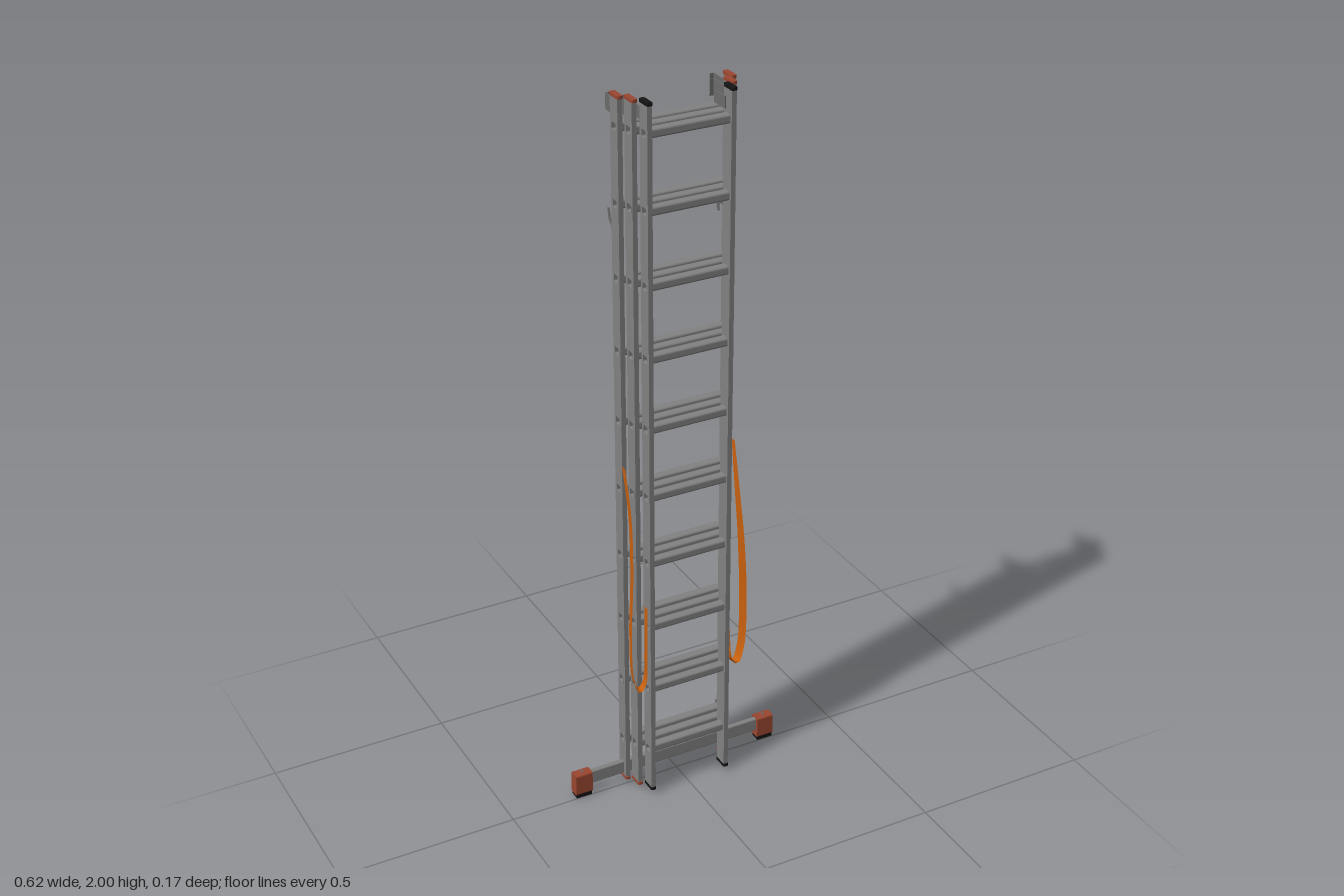
import * as THREE from 'three';

const mat = (name, color, side = THREE.FrontSide) => {
  const m = new THREE.MeshStandardMaterial({ color, side });
  m.name = name;
  return m;
};

export function createModel() {
  const model = new THREE.Group();
  model.name = 'tripleLadder';
  const aluminium = mat('aluminium', 0x828282);
  const steel = mat('darkSteel', 0x6c6c6c);
  const red = mat('redBrownPlastic', 0x9a4630);
  const black = mat('blackRubber', 0x141414);
  const orange = mat('orangeStrap', 0xc8600f, THREE.DoubleSide);

  const add = (parent, name, geo, m, x = 0, y = 0, z = 0) => {
    const mesh = new THREE.Mesh(geo, m);
    mesh.name = name;
    mesh.position.set(x, y, z);
    parent.add(mesh);
    return mesh;
  };
  const box = (parent, name, m, x0, x1, y0, y1, z0, z1) =>
    add(parent, name, new THREE.BoxGeometry(Math.abs(x1 - x0), y1 - y0, z1 - z0), m,
      (x0 + x1) / 2, (y0 + y1) / 2, (z0 + z1) / 2);

  // Rectangle outline with rounded corners
  const roundRect = (w, h, r, Type = THREE.Shape, cx = 0, cy = 0) => {
    const s = new Type();
    [[1, 1], [-1, 1], [-1, -1], [1, -1]].forEach(([sx, sy], i) => {
      s.absarc(cx + sx * (w / 2 - r), cy + sy * (h / 2 - r), r, i * Math.PI / 2, (i + 1) * Math.PI / 2, false);
    });
    s.closePath();
    return s;
  };
  // Extrude a (z, y) outline along x, centred
  const sideways = (shape, depth) => {
    const g = new THREE.ExtrudeGeometry(shape, { depth, bevelEnabled: false, curveSegments: 4 });
    return g.translate(0, 0, -depth / 2).rotateY(-Math.PI / 2);
  };

  const rungY = Array.from({ length: 10 }, (_, i) => 0.146 + i * 0.197);
  const bottom = 0.024, top = 1.993;

  // Rail pierced by every hollow rung
  const railShape = new THREE.Shape();
  railShape.moveTo(-0.0195, bottom).lineTo(0.0195, bottom).lineTo(0.0195, top).lineTo(-0.0195, top).closePath();
  rungY.forEach(y => railShape.holes.push(roundRect(0.0225, 0.0215, 0.003, THREE.Path, 0, y)));
  const railGeo = sideways(railShape, 0.013);
  const capGeo = new THREE.ExtrudeGeometry(roundRect(0.0155, 0.045, 0.005), { depth: 0.008, bevelEnabled: false, curveSegments: 4 })
    .rotateX(-Math.PI / 2);

  // Three nested ladder sections, widest at the back
  [
    ['back', 0.153, -0.015, red],
    ['middle', 0.134, 0.022, red],
    ['front', 0.113, 0.060, black],
  ].forEach(([label, x, z, capMat]) => {
    const section = new THREE.Group();
    section.name = label + 'Section';
    model.add(section);
    for (const s of [-1, 1]) {
      add(section, 'rail', railGeo, aluminium, s * x, 0, z);
      add(section, 'topCap', capGeo, capMat, s * x, 1.992, z);
      add(section, 'footCap', capGeo, capMat, s * x, 0.016, z);
    }
    const rungShape = roundRect(0.025, 0.024, 0.006);
    rungShape.holes.push(roundRect(0.021, 0.02, 0.004, THREE.Path));
    const rungGeo = sideways(rungShape, 2 * x + 0.0135);
    rungY.forEach(y => add(section, 'rung', rungGeo, aluminium, 0, y, z));
  });

  // Stabiliser bar with end shoes
  const stabiliser = new THREE.Group();
  stabiliser.name = 'stabiliser';
  model.add(stabiliser);
  add(stabiliser, 'bar', sideways(roundRect(0.015, 0.04, 0.004), 0.58), aluminium, 0, 0.05, -0.015);
  const shoeGeo = sideways(roundRect(0.031, 0.064, 0.005), 0.05);
  for (const s of [-1, 1]) {
    add(stabiliser, 'endShoe', shoeGeo, red, s * 0.285, 0.042, -0.015);
    box(stabiliser, 'shoePad', black, s * 0.262, s * 0.308, 0, 0.012, -0.029, -0.001);
    add(stabiliser, 'shoeScrew', new THREE.CylinderGeometry(0.004, 0.004, 0.003, 12), steel, s * 0.285, 0.0745, -0.015);
  }

  // J-shaped catch outline in (z, y)
  const hookShape = new THREE.Shape();
  [[-0.03, 1.672], [-0.05, 1.672], [-0.06, 1.66], [-0.068, 1.668], [-0.074, 1.688], [-0.079, 1.688],
    [-0.074, 1.66], [-0.06, 1.648], [-0.056, 1.632], [-0.049, 1.632], [-0.05, 1.652], [-0.03, 1.656]]
    .forEach(([z, y], i) => (i ? hookShape.lineTo(z, y) : hookShape.moveTo(z, y)));
  const hookGeo = sideways(hookShape, 0.004);

  // Strap centre line: from the back rail, hanging down, up to the front rail
  const strapCurve = new THREE.CatmullRomCurve3([
    [0.160, 1.01, 0.014], [0.158, 0.88, 0.042], [0.163, 0.72, 0.060], [0.170, 0.52, 0.062],
    [0.164, 0.39, 0.062], [0.147, 0.343, 0.062], [0.130, 0.365, 0.062], [0.124, 0.45, 0.060], [0.122, 0.60, 0.058],
  ].map(p => new THREE.Vector3(...p)));
  const strapGeo = side => {
    const n = 48, pos = [], idx = [];
    for (let i = 0; i <= n; i++) {
      const t = i / n, p = strapCurve.getPointAt(t);
      const half = 0.005 + 0.011 * Math.sin(Math.PI * Math.min(1, t * 0.8 + 0.1));
      const twist = 0.45 * Math.sin(Math.PI * t);
      for (const e of [-1, 1])
        pos.push(side * (p.x + e * half * Math.sin(twist) * 0.5), p.y, p.z + e * half * Math.cos(twist));
      if (i < n) idx.push(2 * i, 2 * i + 1, 2 * i + 2, 2 * i + 1, 2 * i + 3, 2 * i + 2);
    }
    const g = new THREE.BufferGeometry();
    g.setAttribute('position', new THREE.Float32BufferAttribute(pos, 3));
    g.setIndex(idx);
    g.computeVertexNormals();
    return g;
  };

  for (const s of [-1, 1]) {
    const side = new THREE.Group();
    side.name = s > 0 ? 'leftFittings' : 'rightFittings';
    model.add(side);
    // Guide brackets of the back section
    box(side, 'backGuide', steel, s * 0.1445, s * 0.1475, 1.938, 1.98, -0.083, -0.02);
    box(side, 'backGuideLip', steel, s * 0.135, s * 0.1475, 1.938, 1.98, -0.083, -0.0805);
    // Guide brackets of the middle and front sections
    box(side, 'middleGuide', steel, s * 0.1255, s * 0.128, 1.938, 1.98, -0.047, 0.02);
    box(side, 'middleGuideLip', steel, s * 0.115, s * 0.128, 1.938, 1.98, -0.047, -0.0445);
    box(side, 'frontGuide', steel, s * 0.104, s * 0.1065, 1.938, 1.97, -0.004, 0.05);
    // Catch hooks and lower locks
    add(side, 'catchHook', hookGeo, steel, s * 0.1465, 0, 0);
    box(side, 'lowerLock', steel, s * 0.143, s * 0.147, 0.132, 0.158, -0.038, 0);
    add(side, 'strap', strapGeo(s), orange);
  }
  return model;
}
